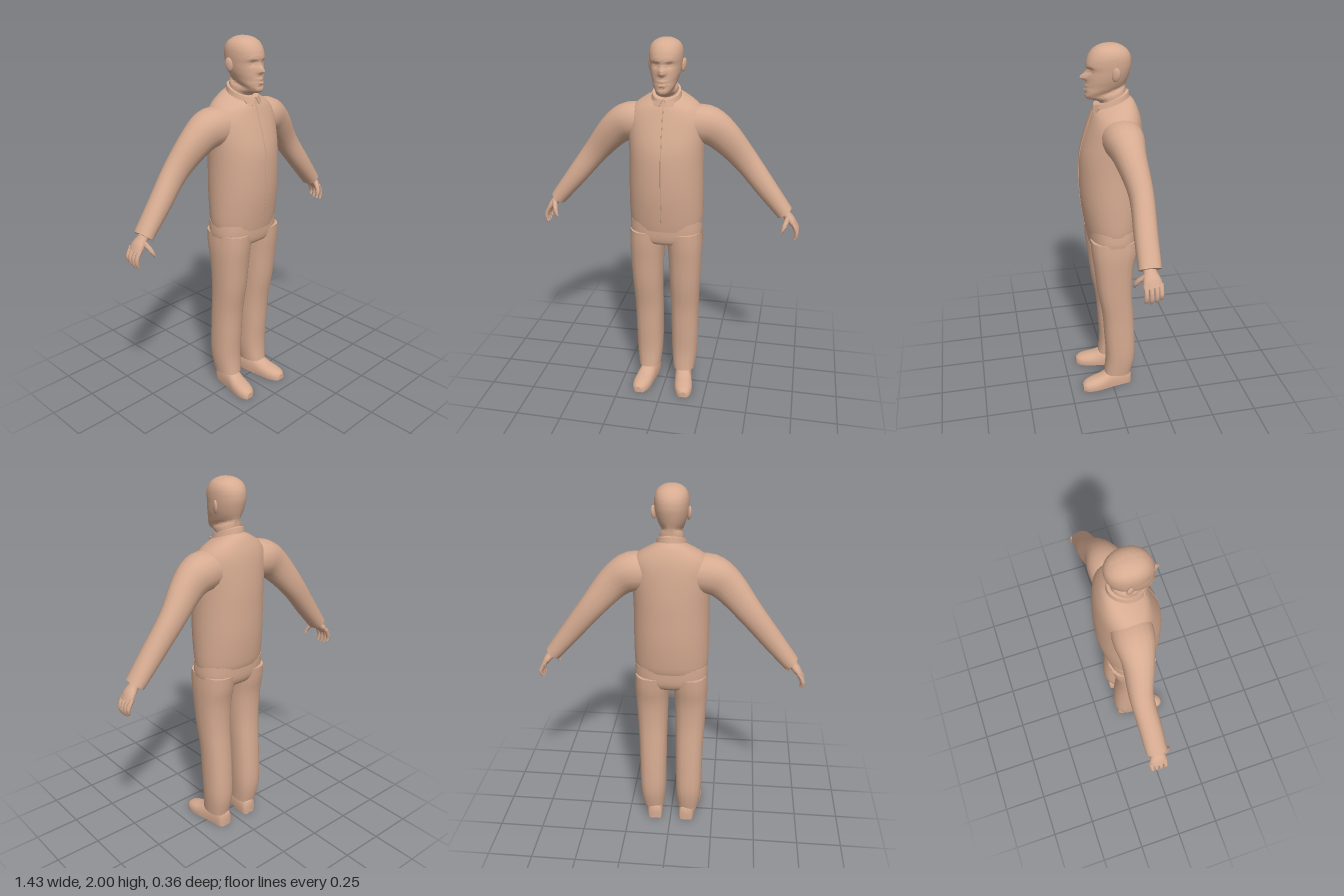
import * as THREE from 'three';
import { toCreasedNormals } from 'three/addons/utils/BufferGeometryUtils.js';

const tan = new THREE.MeshStandardMaterial({ color: 0xd6ab91 });
tan.name = 'plain tan';

// Smoothly fills in rows of section numbers between the given ones.
function resample(rows, steps) {
  const out = [];
  for (let i = 0; i < rows.length - 1; i++) {
    const [a, b, c, d] = [rows[Math.max(i - 1, 0)], rows[i], rows[i + 1], rows[Math.min(i + 2, rows.length - 1)]];
    for (let k = 0; k < steps; k++) {
      const t = k / steps;
      out.push(b.map((v, j) => v + 0.5 * t * (c[j] - a[j] + t * (2 * a[j] - 5 * v + 4 * c[j] - d[j] + t * (3 * (v - c[j]) + d[j] - a[j])))));
    }
  }
  out.push(rows[rows.length - 1]);
  return out;
}

// Skins closed rings of points, caps both ends and turns faces outward.
function loft(rings, crease = 0.8) {
  const n = rings[0].length, pos = [], idx = [];
  rings.forEach((r) => r.forEach((p) => pos.push(p.x, p.y, p.z)));
  for (let i = 0; i < rings.length - 1; i++) {
    for (let j = 0; j < n; j++) {
      const a = i * n + j, b = i * n + (j + 1) % n;
      idx.push(a, b, a + n, b, b + n, a + n);
    }
  }
  [0, rings.length - 1].forEach((i) => {
    const c = new THREE.Vector3();
    rings[i].forEach((p) => c.addScaledVector(p, 1 / n));
    const m = pos.length / 3;
    pos.push(c.x, c.y, c.z);
    for (let j = 0; j < n; j++) {
      const a = i * n + j, b = i * n + (j + 1) % n;
      if (i === 0) idx.push(m, b, a); else idx.push(m, a, b);
    }
  });
  const P = (i) => new THREE.Vector3().fromArray(pos, i * 3);
  let volume = 0;
  for (let i = 0; i < idx.length; i += 3) volume += P(idx[i]).dot(P(idx[i + 1]).cross(P(idx[i + 2])));
  if (volume < 0) idx.reverse();
  const g = new THREE.BufferGeometry();
  g.setAttribute('position', new THREE.Float32BufferAttribute(pos, 3));
  g.setIndex(idx);
  return toCreasedNormals(g, crease);
}

// Rounded outline: returns n pairs within -1..1; p sets squareness.
function outline(n, p) {
  const f = (v) => Math.sign(v) * Math.pow(Math.abs(v), 2 / p);
  return Array.from({ length: n }, (_, i) => {
    const t = (i / n) * Math.PI * 2;
    return [f(Math.cos(t)), f(Math.sin(t))];
  });
}

// Upright body rings: [centre x, half width, front z, front y, back z, back y]
function bodyRings(rows, n, p, steps, s = 1) {
  return resample(rows, steps).map(([cx, hw, zf, yf, zb, yb]) => outline(n, p).map(([u, v]) =>
    new THREE.Vector3(s * (cx + hw * u), (yf + yb) / 2 + v * (yf - yb) / 2, (zf + zb) / 2 + v * (zf - zb) / 2)));
}

// Rings across a path: [x, y, z, radius in the front plane, radius in depth]
function limb(rows, n, s, steps = 4, p = 2) {
  const r = resample(rows, steps), at = (i) => new THREE.Vector3().fromArray(r[i]);
  const Z = new THREE.Vector3(0, 0, 1);
  return loft(r.map((row, i) => {
    const T = at(Math.min(i + 1, r.length - 1)).sub(at(Math.max(i - 1, 0))).normalize();
    const U = T.clone().cross(Z).normalize(), W = U.clone().cross(T);
    return outline(n, p).map(([u, v]) => {
      const q = at(i).addScaledVector(U, u * row[3]).addScaledVector(W, v * row[4]);
      q.x *= s;
      return q;
    });
  }));
}

function headGeometry() {
  const rows = [
    [.06, .055, 1.64, -.085, 1.68], [.06, .045, 1.705, -.085, 1.755], [.058, .07, 1.722, -.086, 1.785],
    [.05, .112, 1.732, -.088, 1.80], [.06, .121, 1.755, -.092, 1.815], [.068, .114, 1.785, -.097, 1.83],
    [.075, .113, 1.81, -.103, 1.85], [.08, .111, 1.84, -.108, 1.87], [.083, .109, 1.87, -.112, 1.89],
    [.085, .112, 1.9, -.113, 1.91], [.084, .105, 1.935, -.109, 1.94], [.074, .085, 1.967, -.093, 1.967],
    [.054, .06, 1.986, -.068, 1.986], [.028, .03, 1.997, -.04, 1.997], [.003, 0, 2, -.008, 2],
  ].map((r) => [0, ...r]);
  const rings = bodyRings(rows, 48, 2.1, 4);
  const bump = (d, w) => Math.exp(-d * d / (w * w));
  // Press in the eye sockets and draw out nose, brow and lips
  rings.flat().forEach((q) => {
    if (q.z < .045) return;
    const { x, y } = q, ax = Math.abs(x);
    q.z += .034 * bump(x, .015) * bump(y - 1.838, y > 1.838 ? .026 : .012)
      - .012 * bump(ax - .034, .018) * bump(y - 1.877, .014)
      + .005 * bump(ax - .03, .03) * bump(y - 1.902, .01)
      + .009 * bump(x, .026) * (bump(y - 1.797, .007) + bump(y - 1.778, .007))
      - .006 * bump(x, .03) * bump(y - 1.763, .007);
  });
  return loft(rings, 1.2);
}

export function createModel() {
  const model = new THREE.Group();
  model.name = 'standing man';
  const add = (name, geometry, parent = model) => {
    const m = new THREE.Mesh(geometry, tan);
    m.name = name;
    parent.add(m);
    return m;
  };

  add('head', headGeometry());

  // Jacket body and hips
  const jacket = [
    [.193, .125, 1.0, -.15, 1.02], [.199, .136, 1.06, -.16, 1.06], [.2, .155, 1.2, -.175, 1.2],
    [.198, .158, 1.35, -.178, 1.35], [.2, .15, 1.45, -.177, 1.46], [.205, .125, 1.54, -.17, 1.56],
    [.2, .105, 1.6, -.16, 1.63], [.165, .09, 1.645, -.145, 1.68], [.11, .08, 1.67, -.125, 1.72],
    [.07, .07, 1.685, -.1, 1.74],
  ].map((r) => [0, ...r]);
  add('jacket', loft(bodyRings(jacket, 32, 2.1, 3)));
  add('hips', loft(bodyRings([
    [0, .07, .085, .91, -.1, .9], [0, .17, .108, .925, -.125, .92],
    [0, .197, .118, .97, -.142, .96], [0, .194, .122, 1.04, -.148, 1.04],
  ], 32, 2.5, 3)));
  const seam = jacket.slice(1, 9).map((r) => new THREE.Vector3(0, r[3], r[2]));
  add('jacketSeam', new THREE.TubeGeometry(new THREE.CatmullRomCurve3(seam), 30, .003, 6));

  // Standing collar, high at the back
  add('collar', loft(bodyRings([
    [0, .08, .084, 1.668, -.108, 1.73], [0, .073, .076, 1.7, -.102, 1.765], [0, .062, .062, 1.702, -.09, 1.767],
  ], 28, 2, 1), .4));

  for (const s of [1, -1]) {
    const side = s > 0 ? 'left' : 'right';

    // Collar point
    const tip = new THREE.Shape([[0, .035], [.058, .03], [.05, .004], [.022, -.002]].map((p) => new THREE.Vector2(s * p[0], p[1])));
    const flap = add(side + 'CollarPoint', new THREE.ExtrudeGeometry(tip, { depth: .008, bevelEnabled: false }));
    flap.position.set(0, 1.668, .084);
    flap.rotation.set(-.35, s * .35, 0);

    // Ear
    const ear = add(side + 'Ear', new THREE.SphereGeometry(1, 16, 12));
    ear.scale.set(.01, .035, .021);
    ear.position.set(s * .087, 1.864, -.02);
    ear.rotation.set(-.15, -s * .35, -s * .12);

    // Sleeve
    add(side + 'Sleeve', limb([
      [.1, 1.56, -.03, .09, .1], [.2, 1.56, -.04, .1, .1], [.29, 1.505, -.05, .088, .078],
      [.41, 1.37, -.075, .068, .06], [.53, 1.22, -.07, .056, .058], [.635, 1.09, -.067, .044, .056],
    ], 18, s, 4, 2.2));

    // Hand with four curled fingers and a thumb
    const hand = new THREE.Group();
    hand.name = side + 'Hand';
    model.add(hand);
    add('palm', limb([
      [.615, 1.115, -.065, .024, .03], [.645, 1.08, -.065, .022, .033],
      [.67, 1.052, -.068, .021, .044], [.692, 1.022, -.072, .014, .042],
    ], 14, s), hand);
    [-.036, -.061, -.086, -.108].forEach((z, i) => {
      const d = [.004, 0, .004, .016][i];
      add('finger', limb([
        [.68, 1.04, z, .012, .013], [.702, 1.0, z, .012, .012],
        [.705, .967 + d, z, .01, .011], [.697, .944 + d, z + .002, .006, .007],
      ], 8, s, 3), hand);
    });
    add('thumb', limb([
      [.655, 1.07, -.045, .015, .016], [.642, 1.04, -.012, .013, .013],
      [.632, 1.015, .002, .01, .01], [.624, .998, .004, .006, .006],
    ], 8, s, 3), hand);

    // Trouser leg
    add(side + 'TrouserLeg', loft(bodyRings([
      [.1, .096, .118, .98, -.145, .98], [.105, .095, .113, .9, -.135, .9], [.107, .09, .1, .8, -.115, .8],
      [.106, .084, .083, .65, -.11, .65], [.104, .079, .056, .5, -.12, .5], [.104, .077, .045, .35, -.13, .35],
      [.104, .074, .036, .2, -.133, .2], [.103, .063, .045, .09, -.11, .08],
    ], 16, 2.5, 3, s), .6));

    // Shoe, flat underneath: [z, centre x, half width, height]
    const shoe = resample([
      [-.113, .092, .03, .085], [-.1, .093, .042, .1], [-.04, .098, .048, .11], [.02, .107, .05, .1],
      [.07, .116, .053, .075], [.12, .123, .052, .062], [.16, .128, .04, .05], [.179, .13, .022, .034],
    ], 3);
    add(side + 'Shoe', loft(shoe.map(([z, cx, hw, h]) => outline(18, 2.4).map(([u, v]) =>
      new THREE.Vector3(s * (cx + hw * u), Math.max(0, h * (.28 + .72 * v)), z))), .7));
  }
  return model;
}
